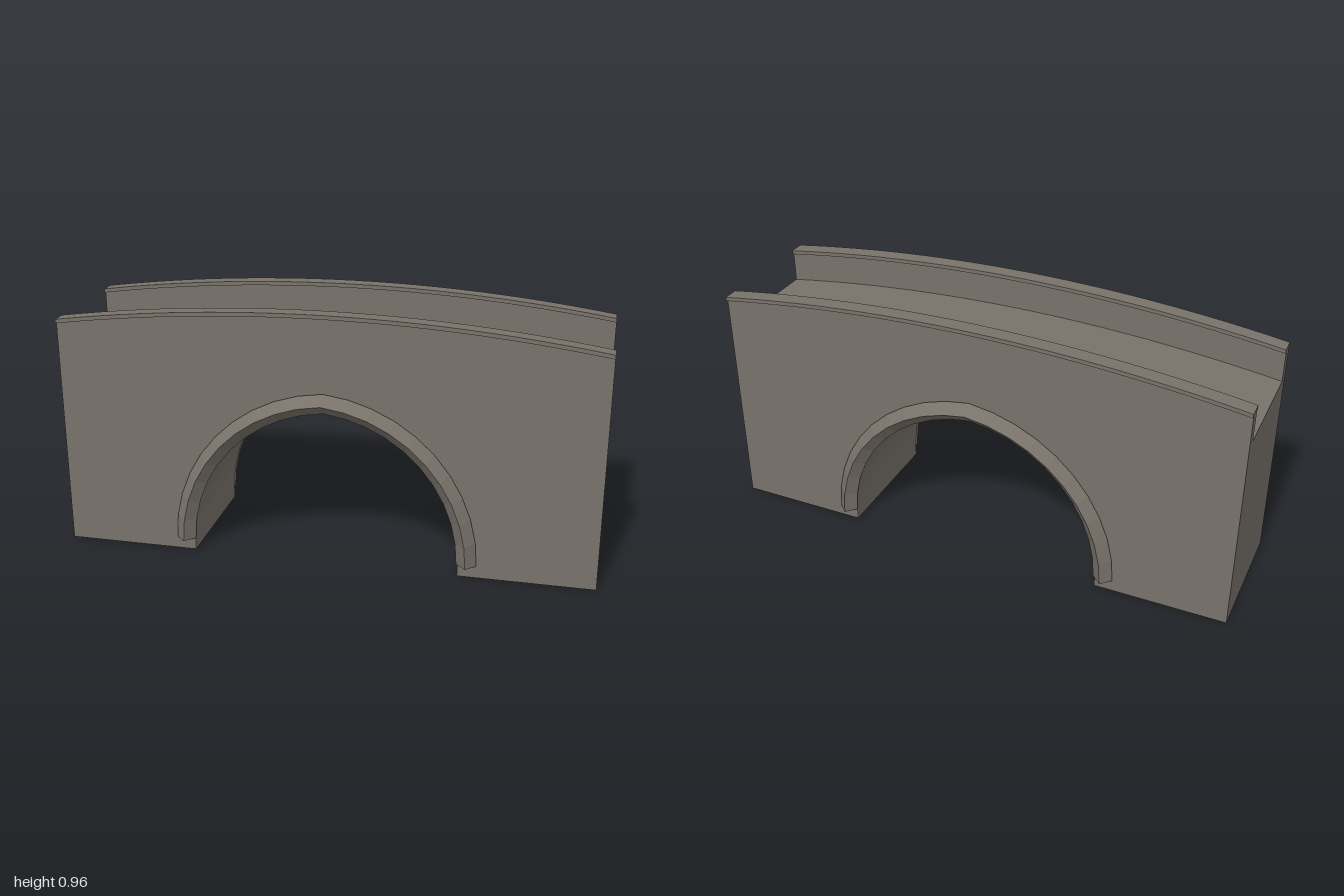
import * as THREE from 'three';

const stone = new THREE.MeshStandardMaterial({ color: 0x78726a });
stone.name = 'stone';

const SPRING = 0.05; // height where the arch starts to curve

// Gently humped line across the bridge, `top` high in the middle
function hump(top, steps = 24) {
  const pts = [];
  for (let i = 0; i <= steps; i++) {
    const x = -1 + (2 * i) / steps;
    pts.push(new THREE.Vector2(x, top - 0.075 * x * x));
  }
  return pts;
}

// Slightly pointed arch from +x to -x, made of two mirrored arcs
function arch(halfWidth, rise, steps = 10) {
  const r = (rise * rise + halfWidth * halfWidth) / (2 * halfWidth);
  const cx = halfWidth - r;
  const end = Math.atan2(rise, -cx);
  const right = [];
  for (let i = 0; i <= steps; i++) {
    const a = (end * i) / steps;
    right.push(new THREE.Vector2(cx + r * Math.cos(a), SPRING + r * Math.sin(a)));
  }
  const left = right.slice(0, -1).reverse().map((p) => new THREE.Vector2(-p.x, p.y));
  return [...right, ...left];
}

function slab(name, points, z0, z1) {
  const geo = new THREE.ExtrudeGeometry(new THREE.Shape(points), { depth: z1 - z0, bevelEnabled: false });
  geo.translate(0, 0, z0);
  const mesh = new THREE.Mesh(geo, stone);
  mesh.name = name;
  return mesh;
}

// Curved strip between two hump lines
const strip = (name, low, high, z0, z1) => slab(name, [...hump(low), ...hump(high).reverse()], z0, z1);

// Diamond-section moulding that follows the arch
function archMoulding(name) {
  const rails = [[0.57, 0.617, 0.256], [0.533, 0.58, 0.293], [0.496, 0.543, 0.256], [0.533, 0.58, 0.219]]
    .map(([w, h, z]) => arch(w, h).map((p) => [p.x, p.y, z]));
  const n = rails[0].length;
  const pos = [];
  const tri = (a, b, c) => pos.push(...a, ...b, ...c);
  for (let i = 0; i < n - 1; i++) {
    for (let j = 0; j < 4; j++) {
      const p = rails[j], q = rails[(j + 1) % 4];
      tri(p[i], p[i + 1], q[i]);
      tri(p[i + 1], q[i + 1], q[i]);
    }
  }
  // Flat feet
  const [a, b, c, d] = rails;
  tri(a[0], b[0], c[0]);
  tri(a[0], c[0], d[0]);
  tri(a[n - 1], c[n - 1], b[n - 1]);
  tri(a[n - 1], d[n - 1], c[n - 1]);
  const geo = new THREE.BufferGeometry();
  geo.setAttribute('position', new THREE.Float32BufferAttribute(pos, 3));
  geo.computeVertexNormals();
  const mesh = new THREE.Mesh(geo, stone);
  mesh.name = name;
  return mesh;
}

export function createModel() {
  const bridge = new THREE.Group();
  bridge.name = 'stoneBridge';

  // Main body with the arched opening and humped roadway
  const v = (x, y) => new THREE.Vector2(x, y);
  const outline = [
    v(-1, 0), v(-0.5, 0), ...arch(0.5, 0.55).reverse(), v(0.5, 0), v(1, 0),
    ...hump(0.825).reverse(),
  ];
  bridge.add(slab('bridgeBody', outline, -0.25, 0.25));

  // Parapet walls with overhanging copings
  bridge.add(strip('frontParapet', 0.825, 0.941, 0.207, 0.25));
  bridge.add(strip('backParapet', 0.825, 0.941, -0.25, -0.207));
  bridge.add(strip('frontCoping', 0.941, 0.956, 0.198, 0.259));
  bridge.add(strip('backCoping', 0.941, 0.956, -0.259, -0.198));

  // Arch mouldings on both faces
  bridge.add(archMoulding('frontArchMoulding'));
  const back = archMoulding('backArchMoulding');
  back.rotation.y = Math.PI;
  bridge.add(back);

  return bridge;
}
